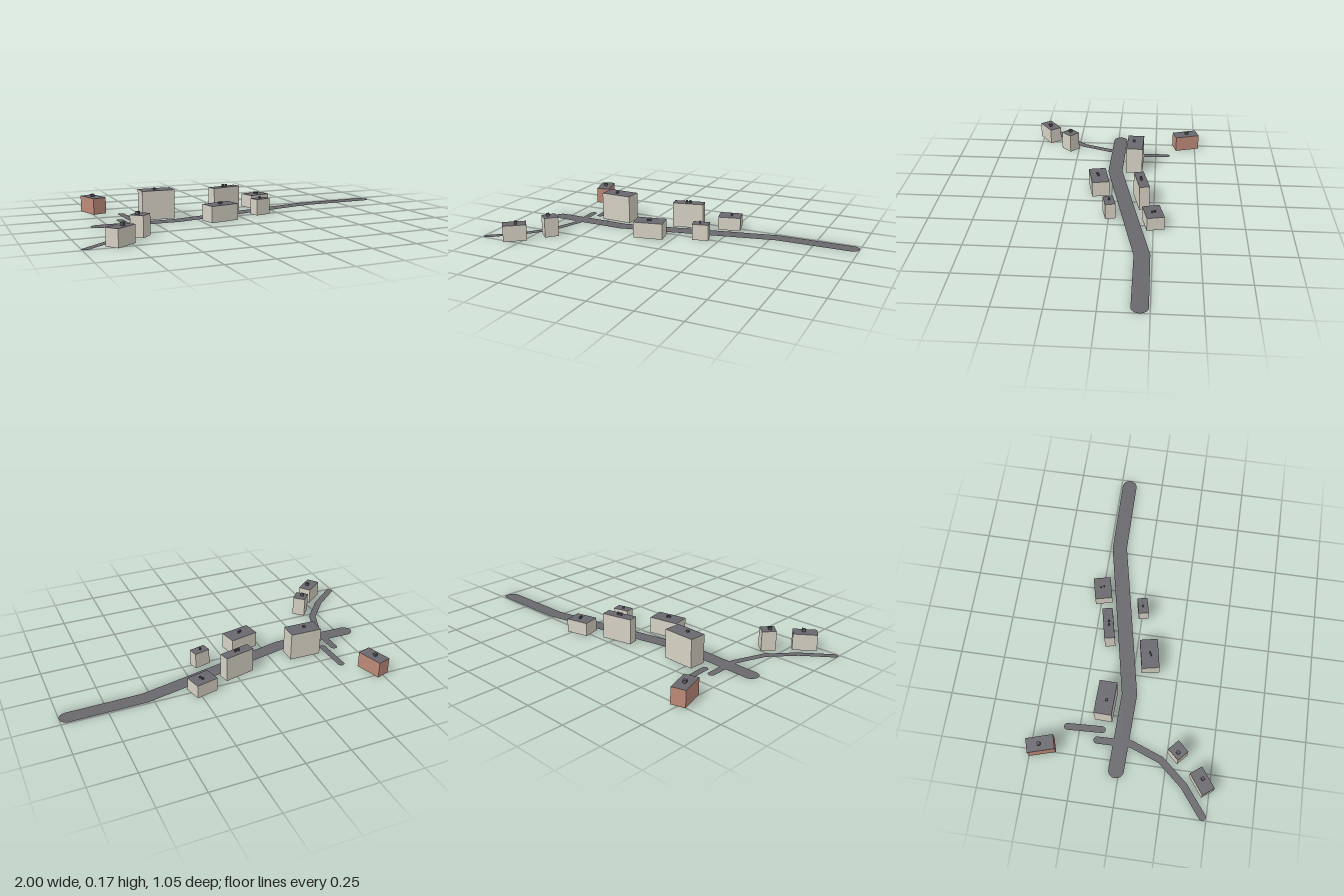
import * as THREE from 'three';

const mat = (name, color, side = THREE.DoubleSide) => {
  const m = new THREE.MeshStandardMaterial({ color, side });
  m.name = name;
  return m;
};

// Flat ribbon with mitred bends and round ends; points are [x, z]
function roadGeometry(points, radius) {
  const p = points.map(([x, z]) => new THREE.Vector2(x, -z));
  const n = p.length;
  const dir = i => p[i + 1].clone().sub(p[i]).normalize();
  const left = d => new THREE.Vector2(-d.y, d.x);
  const sideA = [], sideB = [];
  for (let i = 1; i < n - 1; i++) {
    const a = left(dir(i - 1)), b = left(dir(i));
    const miter = a.clone().add(b).normalize();
    miter.multiplyScalar(radius / miter.dot(a));
    sideA.push(p[i].clone().add(miter));
    sideB.push(p[i].clone().sub(miter));
  }
  const cap = (c, d) => {
    const start = Math.atan2(d.y, d.x) - Math.PI / 2;
    return Array.from({ length: 13 }, (_, k) => {
      const t = start + (k / 12) * Math.PI;
      return new THREE.Vector2(c.x + radius * Math.cos(t), c.y + radius * Math.sin(t));
    });
  };
  const outline = [
    ...cap(p[0], dir(0).negate()), ...sideB,
    ...cap(p[n - 1], dir(n - 2)), ...sideA.reverse(),
  ];
  return new THREE.ShapeGeometry(new THREE.Shape(outline)).rotateX(-Math.PI / 2);
}

export function createModel() {
  const model = new THREE.Group();
  model.name = 'village';
  const stone = mat('pale stone', 0xd6d1c4);
  const brick = mat('brick red', 0xbd8a79);
  const roofGrey = mat('roof grey', 0x68686e, THREE.FrontSide);
  const chimneyGrey = mat('chimney grey', 0x5c5c61);
  const asphalt = mat('asphalt', 0x68686d);

  const add = (parent, name, geometry, material) => {
    const mesh = new THREE.Mesh(geometry, material);
    mesh.name = name;
    parent.add(mesh);
    return mesh;
  };

  // Roads
  const roads = [
    ['mainRoad', 0.043, [[-0.8, -0.015], [-0.366, -0.005], [0.08, -0.1], [0.53, -0.197], [0.957, -0.2]]],
    ['sideRoad', 0.02, [[-0.98, 0.478], [-0.83, 0.36], [-0.71, 0.22], [-0.645, 0.045], [-0.65, -0.145]]],
    ['backLane', 0.019, [[-0.597, -0.32], [-0.588, -0.125]]],
  ];
  for (const [name, r, pts] of roads) add(model, name, roadGeometry(pts, r), asphalt);

  // Houses: centre, footprint, height, turn, chimney [x, z] positions, chimney width and rise
  const houses = [
    { x: -0.73, z: -0.44, w: 0.08, d: 0.15, h: 0.093, turn: 0.29, wall: brick, chimneys: [[-0.733, -0.445]], cw: 0.018, rise: 0.015 },
    { x: -0.445, z: -0.123, w: 0.185, d: 0.098, h: 0.163, turn: -0.03, chimneys: [[-0.457, -0.115]], cw: 0.014, rise: 0.01 },
    { x: -0.01, z: -0.176, w: 0.18, d: 0.058, h: 0.145, turn: 0.22, chimneys: [[-0.02, -0.171], [0, -0.175]], cw: 0.01, rise: 0.015 },
    { x: 0.225, z: -0.248, w: 0.13, d: 0.098, h: 0.077, turn: 0.23, chimneys: [[0.228, -0.258], [0.236, -0.242]], cw: 0.009, rise: 0.011 },
    { x: -0.14, z: 0.078, w: 0.17, d: 0.1, h: 0.092, turn: 0.2, chimneys: [[-0.148, 0.087], [-0.134, 0.08]], cw: 0.009, rise: 0.013 },
    { x: 0.143, z: 0, w: 0.093, d: 0.058, h: 0.092, turn: 0.23, chimneys: [[0.139, 0]], cw: 0.009, rise: 0.013 },
    { x: -0.665, z: 0.305, w: 0.08, d: 0.074, h: 0.113, turn: 0.83, chimneys: [[-0.677, 0.306]], cw: 0.018, rise: 0.015 },
    { x: -0.805, z: 0.452, w: 0.132, d: 0.076, h: 0.093, turn: 0.64, chimneys: [[-0.794, 0.453]], cw: 0.017, rise: 0.017 },
  ];
  houses.forEach((s, i) => {
    const house = new THREE.Group();
    house.name = `house${i + 1}`;
    house.position.set(s.x, 0, s.z);
    house.rotation.y = s.turn;
    model.add(house);

    // Four walls, open underneath
    for (let k = 0; k < 4; k++) {
      const [len, out] = k % 2 ? [s.d, s.w / 2] : [s.w, s.d / 2];
      const g = new THREE.PlaneGeometry(len, s.h).translate(0, s.h / 2, out).rotateY(k * Math.PI / 2);
      add(house, 'wall', g, s.wall || stone);
    }

    // Flat roof
    add(house, 'roof', new THREE.PlaneGeometry(s.w, s.d).rotateX(-Math.PI / 2).translate(0, s.h, 0), roofGrey);

    // Chimneys
    for (const [cx, cz] of s.chimneys) {
      const local = new THREE.Vector3(cx - s.x, 0, cz - s.z).applyAxisAngle(new THREE.Vector3(0, 1, 0), -s.turn);
      const c = add(house, 'chimney', new THREE.BoxGeometry(s.cw, s.rise, s.cw), chimneyGrey);
      c.position.set(local.x, s.h + s.rise / 2, local.z);
    }
  });
  return model;
}
